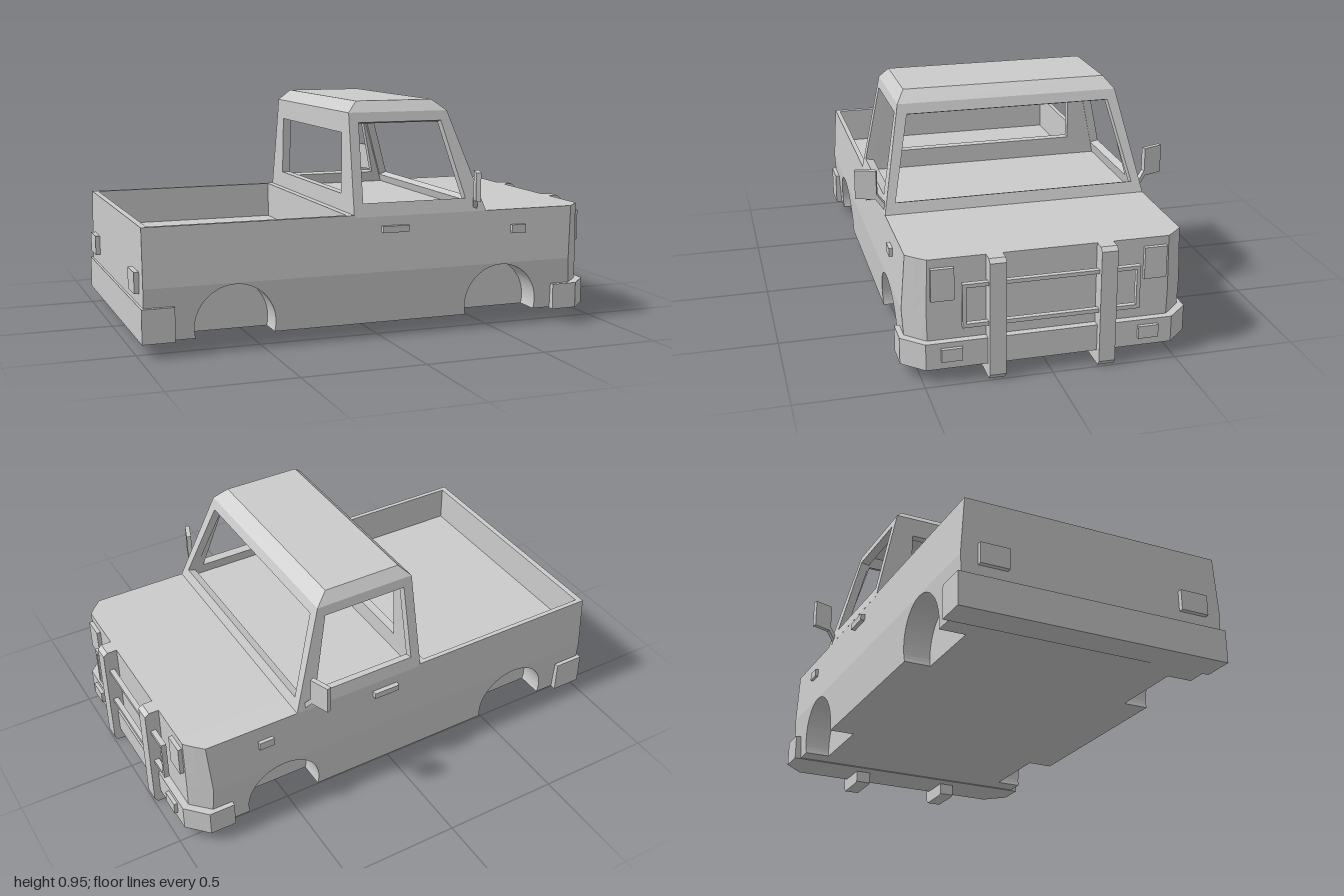
import * as THREE from 'three';

const material = new THREE.MeshStandardMaterial({ color: 0xcccccc, flatShading: true, side: THREE.DoubleSide });

function add(parent, name, geometry) {
  const mesh = new THREE.Mesh(geometry, material);
  mesh.name = name;
  parent.add(mesh);
  return mesh;
}

// Box given by its min and max along each axis
function block(parent, name, [x0, x1], [y0, y1], [z0, z1]) {
  const g = new THREE.BoxGeometry(x1 - x0, y1 - y0, z1 - z0);
  return add(parent, name, g.translate((x0 + x1) / 2, (y0 + y1) / 2, (z0 + z1) / 2));
}

const polygon = (pts) => new THREE.Shape(pts.map(([x, y]) => new THREE.Vector2(x, y)));
const rect = (x0, x1, y0, y1) => polygon([[x0, y0], [x1, y0], [x1, y1], [x0, y1]]);
const extrude = (shape, depth, steps = 1) =>
  new THREE.ExtrudeGeometry(shape, { depth, steps, bevelEnabled: false, curveSegments: 20 });

// Half width of the body at a given height: widest at the waist
function halfWidth(y) {
  return y < 0.27 ? 0.548 + (y - 0.06) / 0.21 * 0.012 : 0.56 - (y - 0.27) / 0.235 * 0.015;
}

// Side skin band that follows the body width, with a chamfered front corner
function sideBand(parent, shape, zInner = 0.44, steps = 3) {
  const g = extrude(shape, 1, steps);
  const p = g.attributes.position;
  for (let i = 0; i < p.count; i++) {
    const z = zInner + p.getZ(i) * (halfWidth(p.getY(i)) - zInner);
    p.setZ(i, z);
    p.setX(i, Math.min(p.getX(i), 0.94 - Math.max(0, z - 0.48)));
  }
  g.computeVertexNormals();
  add(parent, 'bodySide', g);
}

// Lower side profile with two round wheel arches
function archProfile() {
  const s = new THREE.Shape();
  const r = 0.165, cy = 0.1, a = Math.asin((cy - 0.06) / r);
  s.moveTo(-0.98, 0.06);
  for (const cx of [-0.615, 0.54]) {
    s.lineTo(cx - r * Math.cos(a), 0.06);
    s.absarc(cx, cy, r, Math.PI + a, -a, true);
  }
  s.lineTo(0.94, 0.06);
  s.lineTo(0.94, 0.27);
  s.lineTo(-0.98, 0.27);
  s.closePath();
  return s;
}

function createCab() {
  const pos = [];
  const quad = (a, b, c, d) => [a, b, c, a, c, d].forEach((v) => pos.push(v.x, v.y, v.z));
  const V = (x, y, z) => new THREE.Vector3(x, y, z);
  const ring = (x0, x1, y, z) => [V(x0, y, z), V(x1, y, z), V(x1, y, -z), V(x0, y, -z)];
  const Y0 = 0.495, Y1 = 0.91;
  const base = ring(-0.117, 0.47, Y0, 0.546), shoulder = ring(-0.11, 0.325, Y1, 0.46);
  const roof = ring(-0.065, 0.27, 0.955, 0.425);
  const baseIn = ring(-0.08, 0.43, Y0, 0.51), shoulderIn = ring(-0.073, 0.285, Y1 - 0.01, 0.425);

  // Window corners lie in the plane of their wall
  const at = (a, b, y) => a + (b - a) * (y - Y0) / (Y1 - Y0);
  const sidePts = [[-0.075, 0.55], [0.38, 0.55], [0.295, 0.87], [-0.07, 0.87]];
  const onSide = ([x, y], s) => V(x, y, s * at(0.546, 0.46, y));
  const windows = [
    sidePts.map((q) => onSide(q, 1)),
    [[0.5, 0.54], [-0.5, 0.54], [-0.425, 0.87], [0.425, 0.87]].map(([z, y]) => V(at(0.47, 0.325, y), y, z)),
    [1, 0, 3, 2].map((k) => onSide(sidePts[k], -1)),
    [[-0.39, 0.575], [0.39, 0.575], [0.385, 0.825], [-0.385, 0.825]].map(([z, y]) => V(at(-0.117, -0.11, y), y, z)),
  ];

  windows.forEach((h, i) => {
    const j = (i + 1) % 4;
    const o = [base[i], base[j], shoulder[j], shoulder[i]];
    const oi = [baseIn[i], baseIn[j], shoulderIn[j], shoulderIn[i]];
    const normal = o[1].clone().sub(o[0]).cross(o[3].clone().sub(o[0])).normalize();
    const hi = h.map((v) => v.clone().addScaledVector(normal, -0.036));
    for (let k = 0; k < 4; k++) {
      const n = (k + 1) % 4;
      quad(o[k], o[n], h[n], h[k]);       // outer frame
      quad(h[k], h[n], hi[n], hi[k]);     // window reveal
      quad(oi[n], oi[k], hi[k], hi[n]);   // inner frame
    }
    quad(shoulder[i], shoulder[j], roof[j], roof[i]); // roof bevel
  });
  quad(...roof);
  quad(...[...shoulderIn].reverse());
  const g = new THREE.BufferGeometry();
  g.setAttribute('position', new THREE.Float32BufferAttribute(pos, 3));
  g.computeVertexNormals();
  return g;
}

// Parts that repeat on both flanks, built for +z
function createFlank(name) {
  const f = new THREE.Group();
  f.name = name;
  sideBand(f, archProfile());
  sideBand(f, rect(-0.98, 0.94, 0.27, 0.35));
  sideBand(f, rect(-0.145, 0.94, 0.35, 0.495));
  sideBand(f, rect(-0.98, -0.11, 0.35, 0.505), 0.525, 1);

  block(f, 'doorHandle', [0, 0.115], [0.43, 0.457], [0.54, 0.568]);
  block(f, 'sideMarker', [0.585, 0.65], [0.395, 0.43], [0.54, 0.565]);
  block(f, 'headlight', [0.93, 0.957], [0.33, 0.46], [0.375, 0.465]);
  block(f, 'bumperLight', [0.95, 0.985], [0.09, 0.142], [0.35, 0.432]);
  block(f, 'tailLight', [-1, -0.97], [0.24, 0.325], [0.37, 0.49]);

  // Upright guard bar with a foot running back under the bumper
  const bar = polygon([[0.83, 0.005], [0.845, 0], [0.985, 0], [1, 0.02], [1, 0.48],
    [0.982, 0.495], [0.94, 0.495], [0.94, 0.055], [0.83, 0.055]]);
  add(f, 'guardBar', extrude(bar, 0.065).translate(0, 0, 0.185));

  // Wing mirror on a slanted arm
  const mirror = add(f, 'mirror', new THREE.BoxGeometry(0.02, 0.12, 0.088));
  mirror.position.set(0.397, 0.608, 0.608);
  mirror.rotation.y = -0.35;
  const from = new THREE.Vector3(0.425, 0.505, 0.53), to = new THREE.Vector3(0.408, 0.57, 0.578);
  const arm = add(f, 'mirrorArm', new THREE.BoxGeometry(0.018, 0.018, from.distanceTo(to)));
  arm.position.lerpVectors(from, to, 0.5);
  arm.lookAt(to);
  return f;
}

export function createModel() {
  const model = new THREE.Group();
  model.name = 'pickupTruck';

  // Body core, bed floor and tailgate
  block(model, 'chassis', [-0.98, 0.94], [0.06, 0.35], [-0.44, 0.44]);
  block(model, 'hood', [-0.145, 0.94], [0.35, 0.495], [-0.44, 0.44]);
  block(model, 'bedFrontWall', [-0.145, -0.11], [0.35, 0.505], [-0.53, 0.53]);
  block(model, 'tailgate', [-0.98, -0.955], [0.35, 0.505], [-0.53, 0.53]);
  add(model, 'cab', createCab());

  const left = createFlank('flank');
  const right = createFlank('oppositeFlank');
  right.scale.z = -1;
  model.add(left, right);

  // Front bumper with angled ends
  const plan = polygon([[0.78, -0.575], [0.89, -0.575], [0.97, -0.49], [0.97, 0.49], [0.89, 0.575], [0.78, 0.575]]);
  add(model, 'frontBumper', extrude(plan, 0.108).rotateX(-Math.PI / 2).translate(0, 0.056, 0));
  block(model, 'rearBumper', [-0.99, -0.86], [0.058, 0.195], [-0.573, 0.573]);

  // Rectangular guard frame across the nose
  const frame = rect(-0.35, 0.35, 0.222, 0.4);
  frame.holes.push(rect(-0.335, 0.335, 0.238, 0.385));
  add(model, 'guardFrame', extrude(frame, 0.022).rotateY(Math.PI / 2).translate(0.96, 0, 0));
  return model;
}
